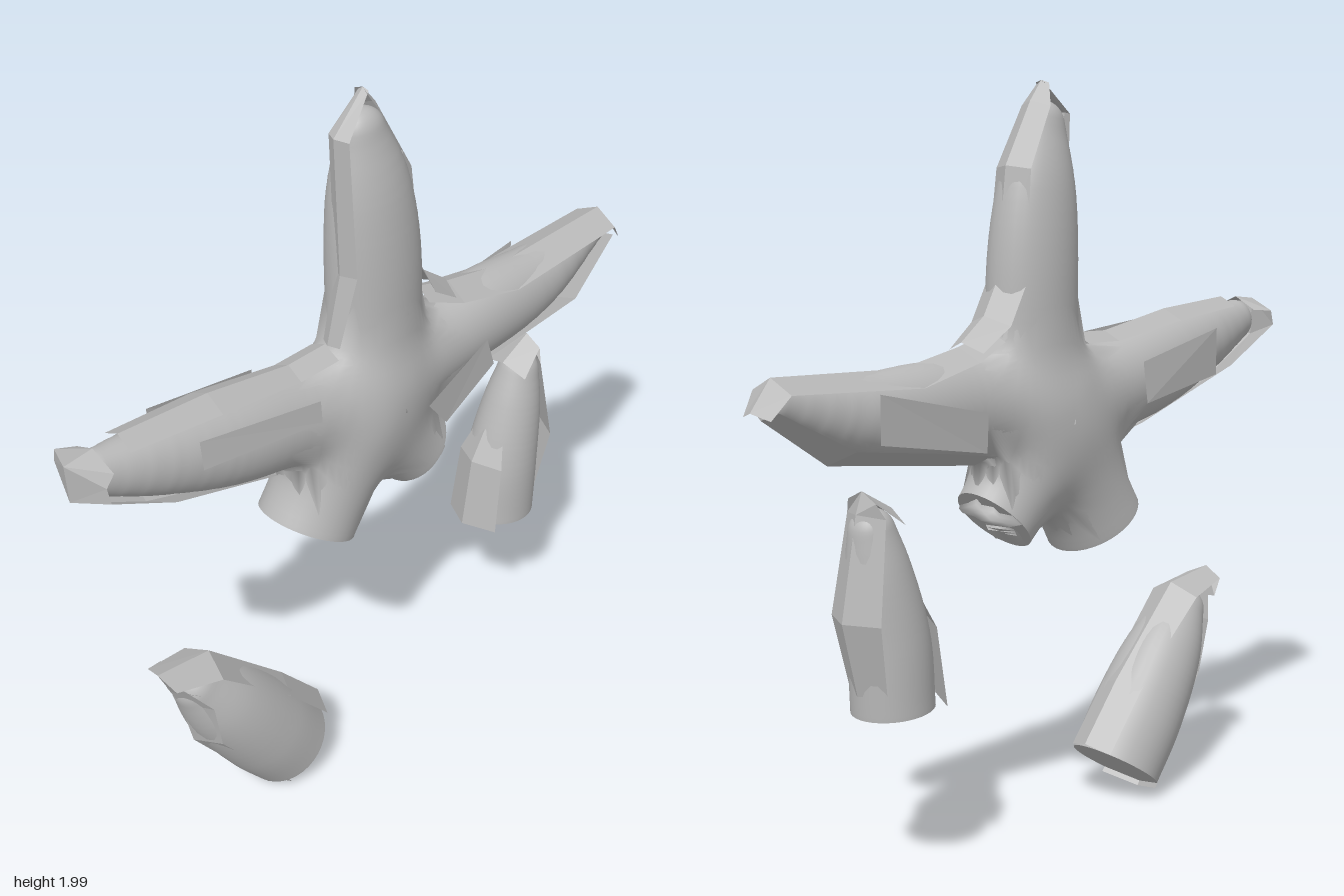
import * as THREE from 'three';

const V = (x, y, z) => new THREE.Vector3(x, y, z);
const SIDES = 36, SECTIONS = 44, DOME = 9;

// An arm lies in the x = 0 plane; points are [z, y, radius]
function makeArm(points, flatten, cut) {
  const curve = new THREE.CatmullRomCurve3(points.map(([z, y, r]) => V(r, y, z)));
  const tangent = curve.getTangentAt(1).setX(0).normalize();
  return { curve, nodes: curve.getSpacedPoints(28), flatten, cut, end: curve.getPointAt(1), tangent };
}

// Distance from a point to the tapered arm, optionally ended by its flat cut
function armDistance(arm, p, withCut) {
  const x = p.x / arm.flatten, { y, z } = p;
  let best = Infinity;
  for (let i = 0; i + 1 < arm.nodes.length; i++) {
    const a = arm.nodes[i], b = arm.nodes[i + 1];
    const by = b.y - a.y, bz = b.z - a.z;
    let t = ((y - a.y) * by + (z - a.z) * bz) / (by * by + bz * bz);
    t = Math.min(1, Math.max(0, t));
    const d = Math.hypot(x, y - a.y - by * t, z - a.z - bz * t) - (a.x + (b.x - a.x) * t);
    if (d < best) best = d;
  }
  if (!arm.cut || !withCut) return best;
  const past = (y - arm.end.y) * arm.tangent.y + (z - arm.end.z) * arm.tangent.z;
  return Math.max(best, past - 0.004);
}

// Arms melted together into one soft form
function makeField(arms, k) {
  return (p, withCut = true) => {
    let sum = 0;
    for (const arm of arms) sum += Math.exp(-armDistance(arm, p, withCut) / k);
    return -k * Math.log(sum);
  };
}

// Distance along a ray to the skin
function reach(field, origin, dir) {
  const at = (r) => field(origin.clone().addScaledVector(dir, r));
  if (at(0) >= 0) return 0;
  let lo = 0, hi = 0;
  while (hi < 0.3) {
    hi += 0.02;
    if (at(hi) > 0) break;
    lo = hi;
  }
  if (lo === hi) return lo;
  for (let i = 0; i < 11; i++) {
    const mid = (lo + hi) / 2;
    if (at(mid) > 0) hi = mid; else lo = mid;
  }
  return lo;
}

function gradient(field, p) {
  const e = 0.015;
  const d = (x, y, z) => field(V(p.x + x, p.y + y, p.z + z), false) - field(V(p.x - x, p.y - y, p.z - z), false);
  return V(d(e, 0, 0), d(0, e, 0), d(0, 0, e)).normalize();
}

// Skin of one arm from rings, with a rounded tip or a flat cut
function addArm(group, name, arm, field, material, baseCut) {
  const frames = [];
  for (let i = 0; i <= SECTIONS; i++) {
    const c = arm.curve.getPointAt(i / SECTIONS);
    const t = arm.curve.getTangentAt(i / SECTIONS).setX(0).normalize();
    frames.push([V(0, c.y, c.z), t]);
  }
  if (!arm.cut) {
    const [end, t] = frames[SECTIONS];
    const tip = reach(field, end, t);
    for (let i = 1; i <= DOME; i++) {
      frames.push([end.clone().addScaledVector(t, tip * Math.sin(i / DOME * Math.PI / 2) + (i === DOME ? 1e-5 : 0)), t]);
    }
  }
  const pos = [], nor = [], idx = [], row = SIDES + 1;
  frames.forEach(([c, t], i) => {
    const n = V(1, 0, 0).cross(t);
    for (let j = 0; j <= SIDES; j++) {
      const a = j / SIDES * Math.PI * 2;
      const dir = n.clone().multiplyScalar(Math.cos(a)).add(V(Math.sin(a), 0, 0));
      const p = c.clone().addScaledVector(dir, reach(field, c, dir));
      pos.push(p.x, p.y, p.z);
      nor.push(...gradient(field, p).toArray());
      if (i && j) {
        const q = (i - 1) * row + j - 1;
        idx.push(q, q + 1, q + row + 1, q, q + row + 1, q + row);
      }
    }
  });
  const geo = new THREE.BufferGeometry();
  geo.setAttribute('position', new THREE.Float32BufferAttribute(pos, 3));
  geo.setAttribute('normal', new THREE.Float32BufferAttribute(nor, 3));
  geo.setIndex(idx);
  const skin = new THREE.Mesh(geo, material);
  skin.name = name;
  group.add(skin);

  // Flat cut face
  if (!arm.cut && !baseCut) return;
  const ring = baseCut ? 0 : frames.length - 1;
  const c = frames[ring][0], face = [];
  const corner = (j) => pos.slice((ring * row + j) * 3, (ring * row + j) * 3 + 3);
  for (let j = 0; j < SIDES; j++) {
    const [a, b] = baseCut ? [j + 1, j] : [j, j + 1];
    face.push(c.x, c.y, c.z, ...corner(a), ...corner(b));
  }
  addSheet(group, name + 'CutFace', face, material);
}

// Sheet folded along its middle so its edges hug the arm; path runs
// up the front, over the top and down the back as [z, y, half width, x centre]
function addStrip(group, name, path, material) {
  const rows = path.map(([z, y, w, x = 0], i) => {
    const a = path[Math.max(0, i - 1)], b = path[Math.min(path.length - 1, i + 1)];
    const dz = b[0] - a[0], dy = b[1] - a[1], s = 0.5 * w / Math.hypot(dz, dy);
    return [[x - w, y + dz * s, z - dy * s], [x, y, z], [x + w, y + dz * s, z - dy * s]];
  });
  const pos = [];
  for (let i = 0; i + 1 < rows.length; i++) {
    for (const k of [0, 1]) {
      const a = rows[i][k], b = rows[i][k + 1], c = rows[i + 1][k + 1], d = rows[i + 1][k];
      pos.push(...a, ...b, ...c, ...a, ...c, ...d);
    }
  }
  addSheet(group, name, pos, material);
}

// Flat four-cornered sheet on a flank; corners are [x, y, z]
function addPlate(group, name, [a, b, c, d], material) {
  addSheet(group, name, [...a, ...b, ...c, ...a, ...c, ...d], material);
}

function addSheet(group, name, pos, material) {
  const geo = new THREE.BufferGeometry();
  geo.setAttribute('position', new THREE.Float32BufferAttribute(pos, 3));
  geo.computeVertexNormals();
  const mesh = new THREE.Mesh(geo, material);
  mesh.name = name;
  group.add(mesh);
}

export function createModel() {
  const model = new THREE.Group();
  model.name = 'brokenStar';
  const grey = new THREE.MeshStandardMaterial({ color: 0xb8b8b8, side: THREE.DoubleSide });
  grey.name = 'grey';

  // Body with three whole arms and two stumps
  const bodyArms = {
    upperArm: makeArm([[0, 1.15, 0.08], [-0.015, 1.42, 0.13], [0.0, 1.7, 0.118], [0.025, 1.885, 0.065]], 0.77),
    frontArm: makeArm([[0, 1.16, 0.08], [0.4, 1.215, 0.125], [0.65, 1.275, 0.1], [0.84, 1.325, 0.06]], 0.85),
    backArm: makeArm([[0, 1.16, 0.08], [-0.35, 1.2, 0.12], [-0.6, 1.215, 0.1], [-0.84, 1.275, 0.045]], 0.85),
    frontStump: makeArm([[0.04, 1.16, 0.08], [0.13, 1, 0.12], [0.225, 0.835, 0.137]], 0.93, true),
    backStump: makeArm([[0.04, 1.08, 0.08], [-0.06, 0.985, 0.1], [-0.155, 0.89, 0.108]], 0.95, true),
  };
  const body = new THREE.Group();
  body.name = 'body';
  const bodyField = makeField(Object.values(bodyArms), 0.052);
  for (const [name, arm] of Object.entries(bodyArms)) addArm(body, name, arm, bodyField, grey);
  model.add(body);

  // Two severed arms, cut face at the base
  const severed = {
    severedFrontArm: [[0.33, 0.1, 0.133], [0.42, 0.225, 0.135], [0.53, 0.38, 0.115], [0.615, 0.5, 0.07]],
    severedBackArm: [[-0.515, 0.475, 0.108], [-0.525, 0.65, 0.105], [-0.555, 0.82, 0.085], [-0.575, 0.93, 0.06]],
  };
  for (const [name, pts] of Object.entries(severed)) {
    const arm = makeArm(pts, 0.95);
    addArm(model, name, arm, makeField([arm], 0.02), grey, true);
  }

  // Loose sheets wrapped along the arms
  const sheets = new THREE.Group();
  sheets.name = 'sheets';
  const strips = {
    upperFrontSheet: [[0.16, 1.36, 0.03, 0.02], [0.125, 1.55, 0.04, 0.03], [0.14, 1.92, 0.035, 0.03], [0.02, 2, 0.015]],
    upperBackSheet: [[0.02, 2, 0.02], [-0.02, 1.95, 0.05], [-0.11, 1.79, 0.06], [-0.145, 1.5, 0.07], [-0.19, 1.42, 0.07], [-0.27, 1.36, 0.06]],
    backTopSheet: [[-0.17, 1.38, 0.05], [-0.28, 1.35, 0.07], [-0.47, 1.315, 0.08], [-0.87, 1.335, 0.07], [-0.93, 1.26, 0.05]],
    backUnderSheet: [[-0.9, 1.24, 0.05], [-0.71, 1.11, 0.09], [-0.42, 1.07, 0.08], [-0.2, 1.04, 0.06]],
    frontTopSheet: [[0.78, 1.4, 0.05], [0.52, 1.385, 0.06], [0.27, 1.345, 0.05], [0.15, 1.35, 0.05]],
    frontTipSheet: [[0.37, 1.06, 0.06], [0.72, 1.17, 0.1], [0.925, 1.28, 0.11], [0.93, 1.385, 0.1], [0.85, 1.395, 0.07]],
    severedFrontFaceSheet: [[0.43, 0.01, 0.1], [0.64, 0.31, 0.08], [0.675, 0.47, 0.09], [0.71, 0.55, 0.04]],
    severedFrontTopSheet: [[0.7, 0.53, 0.09], [0.735, 0.61, 0.06], [0.57, 0.59, 0.08], [0.43, 0.45, 0.07], [0.33, 0.35, 0.07], [0.2, 0.195, 0.07]],
    severedBackFrontSheet: [[-0.37, 0.48, 0.09], [-0.4, 0.69, 0.08], [-0.45, 0.78, 0.05]],
    severedBackTopSheet: [[-0.51, 0.98, 0.07], [-0.605, 1.035, 0.05], [-0.625, 0.98, 0.07], [-0.675, 0.72, 0.09], [-0.63, 0.53, 0.07]],
  };
  for (const [name, path] of Object.entries(strips)) addStrip(sheets, name, path, grey);

  // Sheets on the flanks
  addPlate(sheets, 'frontArmLeftSheet', [[0.145, 1.26, 0.29], [0.14, 1.32, 0.29], [0.105, 1.355, 0.63], [0.115, 1.28, 0.63]], grey);
  addPlate(sheets, 'frontArmRightSheet', [[-0.145, 1.16, 0.28], [-0.13, 1.27, 0.28], [-0.11, 1.33, 0.62], [-0.11, 1.2, 0.62]], grey);
  addPlate(sheets, 'backArmLeftSheet', [[0.125, 1.02, -0.16], [0.13, 1.11, -0.09], [0.12, 1.21, -0.31], [0.12, 1.12, -0.34]], grey);
  addPlate(sheets, 'backArmRightSheet', [[-0.12, 1.1, -0.3], [-0.125, 1.2, -0.3], [-0.1, 1.28, -0.63], [-0.1, 1.16, -0.63]], grey);
  model.add(sheets);

  return model;
}
